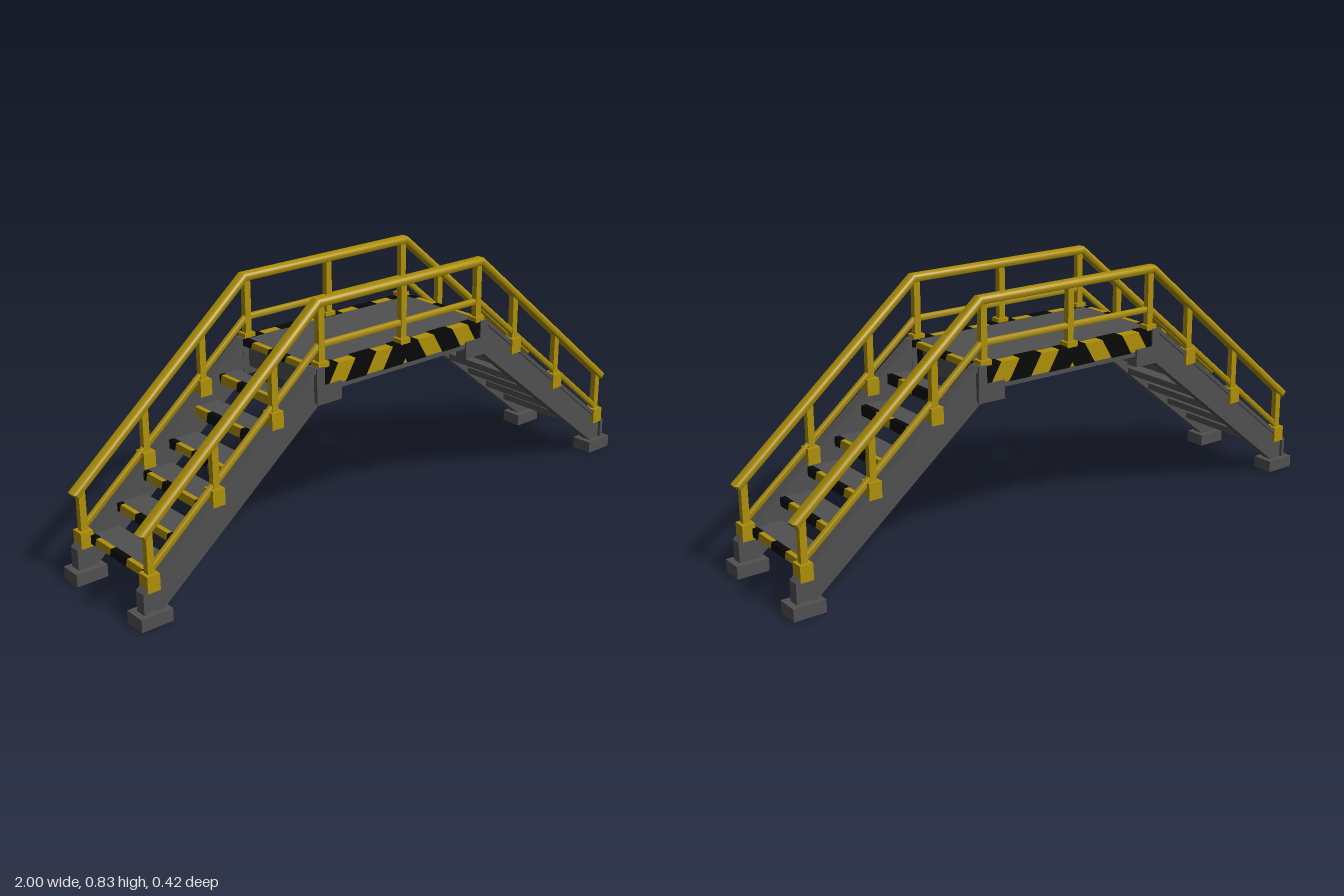
import * as THREE from 'three';
import { toCreasedNormals } from 'three/addons/utils/BufferGeometryUtils.js';

const material = (name, color) => {
  const m = new THREE.MeshStandardMaterial({ color });
  m.name = name;
  return m;
};

export function createModel() {
  const yellow = material('safety yellow', 0xae9008);
  const black = material('stripe black', 0x070707);
  const grey = material('steel grey', 0x505050);

  const add = (parent, name, geometry, mat) => {
    const mesh = new THREE.Mesh(geometry, mat);
    mesh.name = name;
    parent.add(mesh);
    return mesh;
  };

  // Box given by its limits on each axis
  const box = (parent, name, mat, x0, x1, y0, y1, z0, z1) => {
    const g = new THREE.BoxGeometry(x1 - x0, y1 - y0, Math.abs(z1 - z0));
    g.translate((x0 + x1) / 2, (y0 + y1) / 2, (z0 + z1) / 2);
    return add(parent, name, g, mat);
  };

  const polygon = (pts) => new THREE.Shape(pts.map(([x, y]) => new THREE.Vector2(x, y)));

  // Side outline extruded between two z planes, optionally rounded
  const slab = (pts, za, zb, round = 0) => {
    const z0 = Math.min(za, zb), z1 = Math.max(za, zb);
    const g = new THREE.ExtrudeGeometry(polygon(pts), {
      depth: z1 - z0 - 2 * round, bevelEnabled: round > 0, bevelThickness: round,
      bevelSize: round * 0.8, bevelOffset: -round * 0.8, bevelSegments: 4,
    });
    g.translate(0, 0, z0 + round);
    return round ? toCreasedNormals(g, 0.7) : g;
  };

  // Mitred strip of constant thickness around a path
  const strip = (path, t) => {
    const pts = path.map(([x, y]) => new THREE.Vector2(x, y));
    const upper = [], lower = [];
    pts.forEach((p, i) => {
      const a = (i > 0 ? p.clone().sub(pts[i - 1]) : pts[1].clone().sub(p)).normalize();
      const b = (i < pts.length - 1 ? pts[i + 1].clone().sub(p) : a.clone()).normalize();
      const n = new THREE.Vector2(-a.y - b.y, a.x + b.x).normalize();
      const k = t / 2 / (n.x * -a.y + n.y * a.x);
      lower.push([p.x - n.x * k, p.y - n.y * k]);
      upper.unshift([p.x + n.x * k, p.y + n.y * k]);
    });
    return [...lower, ...upper];
  };

  // Slanted band clipped to the range u0..u1
  const band = (a, w, slant, h, u0, u1) => {
    let pts = [[a, 0], [a + w, 0], [a + w + slant, h], [a + slant, h]];
    for (const [limit, sign] of [[u0, 1], [u1, -1]]) {
      const out = [];
      pts.forEach((p, i) => {
        const q = pts[(i + 1) % pts.length];
        const dp = (p[0] - limit) * sign, dq = (q[0] - limit) * sign;
        if (dp >= 0) out.push(p);
        if (dp * dq < 0) {
          const t = dp / (dp - dq);
          out.push([limit, p[1] + (q[1] - p[1]) * t]);
        }
      });
      pts = out;
    }
    return pts;
  };

  // Yellow bar along x with black bands wrapped round it
  const stripedBar = (name, length, h, d, bands) => {
    const bar = new THREE.Group();
    bar.name = name;
    box(bar, name + 'Base', yellow, -length / 2, length / 2, 0, h, -d / 2, d / 2);
    for (const [a, w, slant, u0, u1] of bands) {
      const pts = band(a, w, slant, h, u0, u1);
      if (pts.length < 3) continue;
      const g = slab(pts, -d / 2 - 0.0015, d / 2 + 0.0015);
      g.translate(0, -h / 2, 0).scale(1, 1.06, 1).translate(0, h / 2, 0);
      add(bar, name + 'Stripe', g, black);
    }
    return bar;
  };

  // Striped step edge across the stairs, its middle stripe at z = shift
  const nosing = (name, h, d, shift) => {
    const L = 0.314;
    const bands = [-2, -1, 0, 1, 2].map((i) =>
      [-0.047 - shift + i * 0.166, 0.083, 0.009, -L / 2, L / 2]);
    const bar = stripedBar(name, L, h, d, bands);
    bar.rotation.y = Math.PI / 2;
    return bar;
  };

  const model = new THREE.Group();
  model.name = 'stepOverBridge';
  const topEdge = (x) => 0.105 + 0.824 * (0.98 - x);

  // One flight of stairs, climbing towards the middle; m is -1 when turned round
  const flight = (name, m) => {
    const g = new THREE.Group();
    g.name = name;
    for (const s of [1, -1]) {
      box(g, 'foot', grey, 0.895, 1, 0, 0.04, s * 0.136, s * 0.21);
      // Channel stringer: web with raised edges
      add(g, 'stringerWeb', slab([[0.915, 0.04], [0.98, 0.04], [0.98, 0.105], [0.355, 0.62],
        [0.33, 0.62], [0.33, 0.517]], s * 0.157, s * 0.186), grey);
      add(g, 'stringerTopFlange', slab([[0.98, 0.04], [0.98, 0.105], [0.355, 0.62],
        [0.355, 0.604], [0.968, 0.099], [0.968, 0.04]], s * 0.157, s * 0.195), grey);
      add(g, 'stringerBottomFlange', slab([[0.915, 0.04], [0.932, 0.04], [0.345, 0.521],
        [0.345, 0.505]], s * 0.157, s * 0.195), grey);
      // Corner bracket under the landing
      add(g, 'cornerBracket', slab([[0.26, 0.505], [0.355, 0.505], [0.355, 0.62], [0.325, 0.62],
        [0.325, 0.562], [0.26, 0.562]], s * 0.156, s * 0.2), grey);
    }
    // Treads with striped front edges: top height, edge height, depth, stripe shift
    const steps = [
      [0.14, 0.026, 0.1, -0.005], [0.215, 0.026, 0.1, -0.018], [0.29, 0.028, 0.1, -0.016],
      [0.365, 0.027, 0.1, 0], [0.447, 0.032, 0.088, -0.05], [0.527, 0.029, 0.067, -0.027],
    ];
    steps.forEach(([y, h, depth, shift], i) => {
      const x = 0.932 - 0.097 * i;
      box(g, 'tread', grey, x - depth, x - 0.015, y - 0.022, y, -0.158, 0.158);
      const n = nosing('treadNosing', h, 0.015, shift * m);
      n.position.set(x - 0.0075, y - h, 0);
      g.add(n);
    });
    // Landing edge, with its beam and dark end plate
    const edge = nosing('landingNosing', 0.02, 0.018, 0.01 * m);
    edge.position.set(0.345, 0.6, 0);
    g.add(edge);
    box(g, 'landingEndBeam', grey, 0.31, 0.335, 0.53, 0.6, -0.158, 0.158);
    box(g, 'landingEndPlate', black, 0.308, 0.338, 0.529, 0.6, m * 0.126, m * 0.157);
    return g;
  };

  // Guard rail and striped fascia on the +z side
  const side = (name) => {
    const g = new THREE.Group();
    g.name = name;
    const railPath = [[-0.97, 0.272], [-0.335, 0.813], [0.335, 0.813], [0.97, 0.272]];
    const midPath = [[-0.945, 0.162], [-0.33, 0.682], [0.33, 0.682], [0.945, 0.162]];
    add(g, 'handrail', slab(strip(railPath, 0.025), 0.156, 0.197, 0.011), yellow);
    add(g, 'midRail', slab(strip(midPath, 0.018), 0.168, 0.186, 0.004), yellow);
    for (const x of [-0.945, -0.715, -0.5, -0.325, 0, 0.325, 0.5, 0.715, 0.945]) {
      const ax = Math.abs(x), onStair = ax > 0.4;
      const base = onStair ? topEdge(ax) : 0.62;
      const top = ax > 0.335 ? 0.813 - 0.852 * (ax - 0.335) : 0.813;
      box(g, 'post', yellow, x - 0.011, x + 0.011, base, top, 0.167, 0.187);
      if (onStair) box(g, 'postClamp', yellow, x - 0.021, x + 0.021, base - 0.03, base + 0.022, 0.155, 0.198);
      else box(g, 'postBase', yellow, x - 0.02, x + 0.02, 0.616, 0.633, 0.16, 0.196);
    }
    // Fascia stripes lean towards the middle from both ends
    const bands = [];
    for (const a of [-0.39, -0.24, -0.09]) {
      bands.push([a, 0.08, 0.04, -0.325, 0], [-a - 0.08, 0.08, -0.04, 0, 0.325]);
    }
    const fascia = stripedBar('fascia', 0.65, 0.063, 0.034, bands);
    fascia.position.set(0, 0.555, 0.177);
    g.add(fascia);
    box(g, 'fasciaFlange', grey, -0.325, 0.325, 0.539, 0.553, 0.16, 0.194);
    return g;
  };

  const turned = (group) => {
    group.rotation.y = Math.PI;
    return group;
  };
  model.add(flight('leftStairs', 1), turned(flight('rightStairs', -1)));
  model.add(side('frontRailing'), turned(side('backRailing')));
  box(model, 'landingDeck', grey, -0.336, 0.336, 0.598, 0.619, -0.162, 0.162);
  return model;
}
